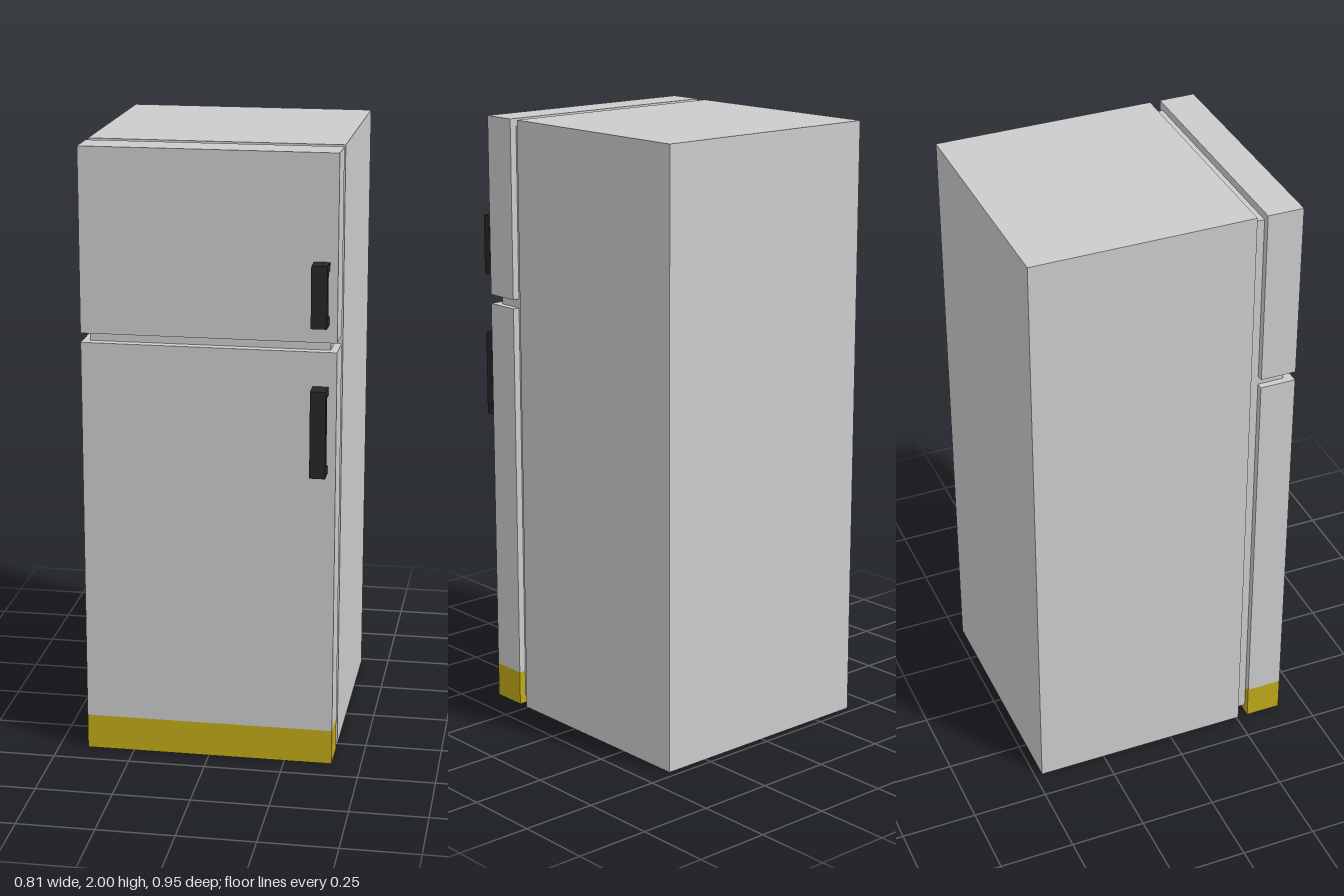
import * as THREE from 'three';

const grey = new THREE.MeshStandardMaterial({ color: 0xcccccc });
const black = new THREE.MeshStandardMaterial({ color: 0x262626 });
const yellow = new THREE.MeshStandardMaterial({ color: 0xc0a918 });

// Box given by its minimum and maximum on each axis
function block(name, [x0, x1], [y0, y1], [z0, z1], material = grey) {
  const mesh = new THREE.Mesh(new THREE.BoxGeometry(x1 - x0, y1 - y0, z1 - z0), material);
  mesh.name = name;
  mesh.position.set((x0 + x1) / 2, (y0 + y1) / 2, (z0 + z1) / 2);
  return mesh;
}

// Bracket-shaped pull: a C profile in the z-y plane, extruded along x
function handle(name, y0, y1) {
  const back = 0.41, front = 0.475, bar = 0.03, foot = 0.026;
  const profile = new THREE.Shape([
    [back, y0], [front, y0], [front, y1], [back, y1],
    [back, y1 - foot], [front - bar, y1 - foot], [front - bar, y0 + foot], [back, y0 + foot],
  ].map(([z, y]) => new THREE.Vector2(z, y)));
  const geometry = new THREE.ExtrudeGeometry(profile, { depth: 0.05, bevelEnabled: false });
  geometry.rotateY(-Math.PI / 2); // shape x becomes z, depth becomes -x
  const mesh = new THREE.Mesh(geometry, black);
  mesh.name = name;
  mesh.position.x = 0.38;
  return mesh;
}

export function createModel() {
  const model = new THREE.Group();
  model.name = 'refrigerator';
  const width = [-0.405, 0.405], inset = [-0.382, 0.382];
  const doorDepth = [0.292, 0.411];

  model.add(
    block('cabinet', width, [0, 2], [-0.475, 0.257]),
    // Recessed seal between the cabinet and the doors
    block('doorSeal', inset, [0.027, 1.975], [0.257, 0.292]),
    // Recessed strip in the gap between the two doors
    block('doorDivider', inset, [1.38, 1.41], [0.292, 0.38]),
    block('freezerDoor', width, [1.41, 2], doorDepth),
    block('fridgeDoor', width, [0.115, 1.38], doorDepth),
    block('kickPlate', width, [0, 0.115], doorDepth, yellow),
    handle('freezerHandle', 1.468, 1.664),
    handle('fridgeHandle', 0.99, 1.27),
  );
  return model;
}
